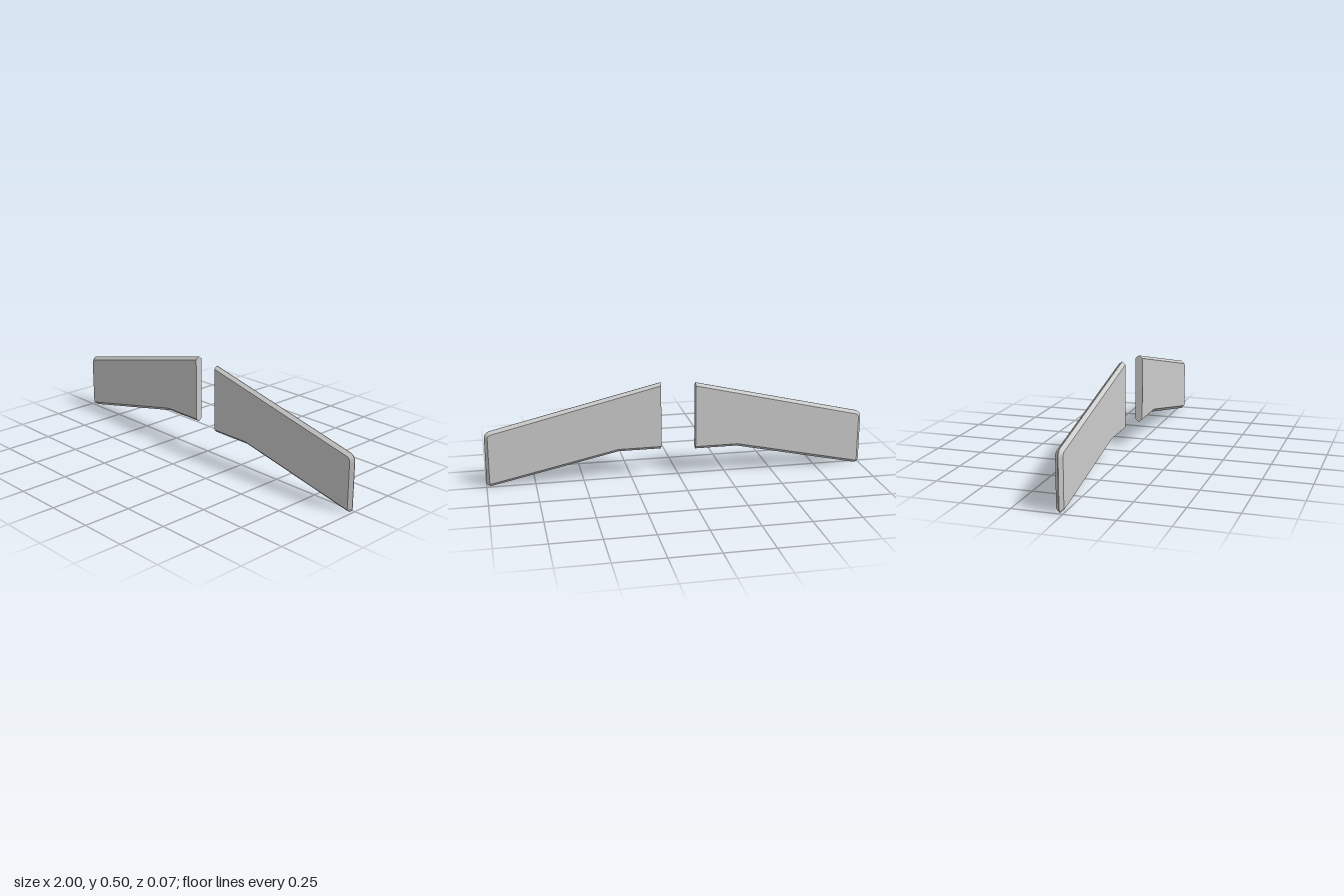
import * as THREE from 'three';
import { toCreasedNormals } from 'three/addons/utils/BufferGeometryUtils.js';

const ROOT = 0.088;   // x of the flat inner end
const BEVEL = 0.016;  // how far the sharp rim reaches past the flat faces
const HALF = 0.017;   // depth of each bevel
const RIM = 0.003;    // narrow flat along the rim

function bladeGeometry() {
  // outline of the flat face
  const s = new THREE.Shape();
  s.moveTo(ROOT, 0.159);
  s.lineTo(0.315, 0.159);
  s.lineTo(0.972, 0.0184);
  s.quadraticCurveTo(0.984, 0.0158, 0.984, 0.027);
  s.lineTo(0.984, 0.258);
  s.quadraticCurveTo(0.984, 0.2785, 0.964, 0.2832);
  s.lineTo(ROOT, 0.49);
  s.closePath();

  const geo = new THREE.ExtrudeGeometry(s, {
    depth: RIM, curveSegments: 24,
    bevelEnabled: true, bevelSegments: 1, bevelSize: BEVEL, bevelThickness: HALF,
  });

  // cut the bevel off square at the inner end, following the sloped top edge
  const p = geo.attributes.position;
  for (let i = 0; i < p.count; i++) {
    const over = ROOT - p.getX(i);
    if (over > 0) {
      p.setX(i, ROOT);
      if (p.getY(i) > 0.3) p.setY(i, p.getY(i) - over * 0.236);
    }
  }
  geo.translate(0, 0, HALF);
  return toCreasedNormals(geo, 0.18);
}

export function createModel() {
  const group = new THREE.Group();
  group.name = 'bladePair';
  const geo = bladeGeometry();
  const mat = new THREE.MeshStandardMaterial({ color: 0xcccccc });

  // the second blade is the first turned half way round the vertical axis
  ['leftBlade', 'rightBlade'].forEach((name, i) => {
    const blade = new THREE.Mesh(geo, mat);
    blade.name = name;
    blade.rotation.y = i * Math.PI;
    group.add(blade);
  });
  return group;
}
